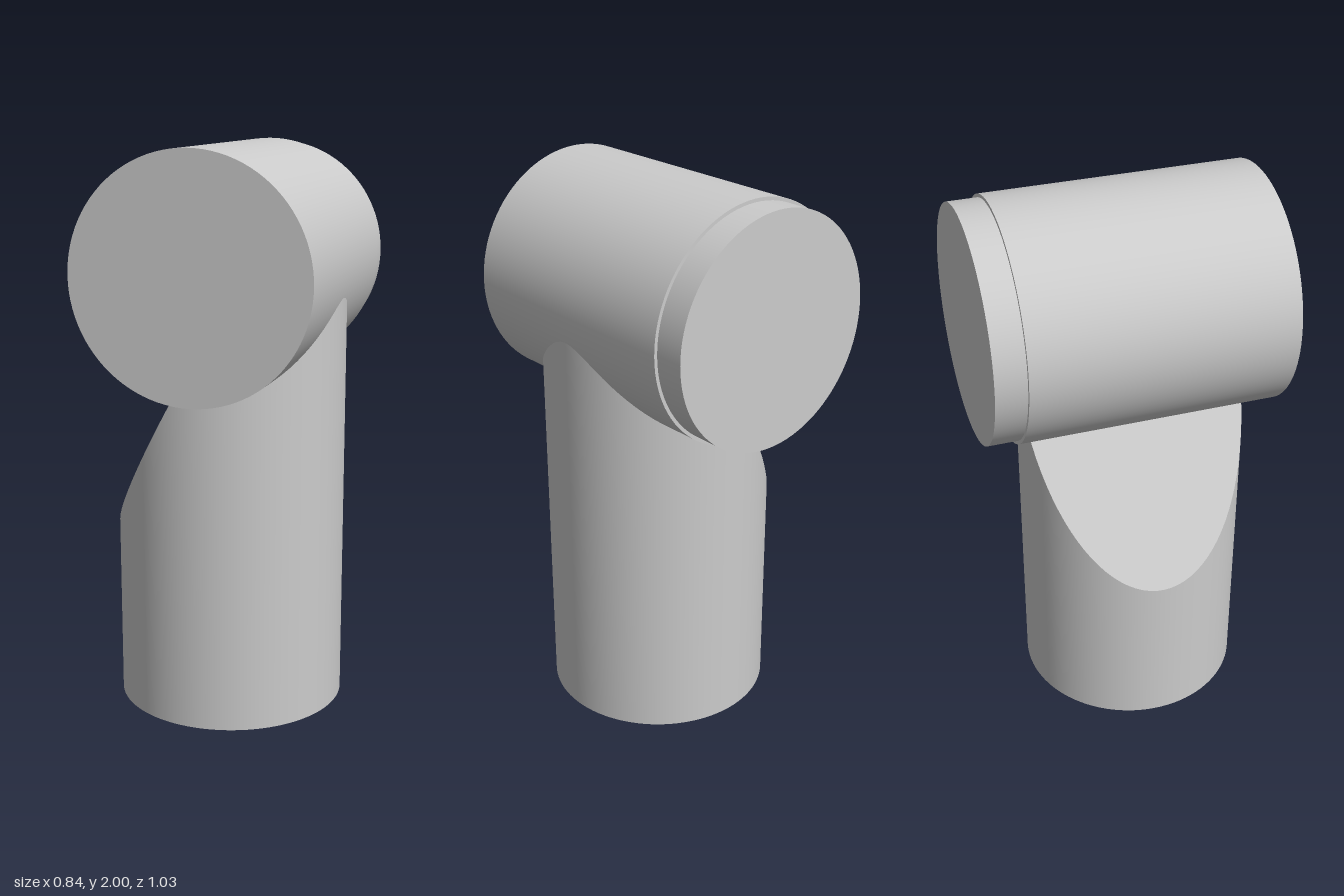
import * as THREE from 'three';

const SEGMENTS = 96;
const DRUM_Y = 1.58;

export function createModel() {
  const group = new THREE.Group();
  const material = new THREE.MeshStandardMaterial({ color: 0xcccccc });

  function add(name, geometry, x, y, z) {
    const mesh = new THREE.Mesh(geometry, material);
    mesh.name = name;
    mesh.position.set(x, y, z);
    group.add(mesh);
  }

  // Cylinder lying along z between two depths
  function addLying(name, radius, front, back) {
    const geometry = new THREE.CylinderGeometry(radius, radius, front - back, SEGMENTS);
    geometry.rotateX(Math.PI / 2);
    add(name, geometry, 0, DRUM_Y, (front + back) / 2);
  }

  addLying('drum', 0.42, 0.515, -0.408);
  addLying('rearCap', 0.408, -0.408, -0.515);

  // Upright post, its top cut by a 60 degree slant that runs into the drum
  const radius = 0.408;
  const post = new THREE.CylinderGeometry(radius, radius, 1, SEGMENTS);
  post.translate(0, 0.5, 0);
  const position = post.attributes.position;
  const normal = post.attributes.normal;
  const slope = Math.sqrt(3);
  for (let i = 0; i < position.count; i++) {
    if (position.getY(i) < 0.5) continue;
    const slantY = 0.6 + slope * (position.getX(i) + radius);
    position.setY(i, Math.min(slantY, 1.55));
    if (normal.getY(i) > 0.9) normal.setXYZ(i, -slope / 2, 0.5, 0);
  }
  add('post', post, 0, 0, 0.065);

  return group;
}
